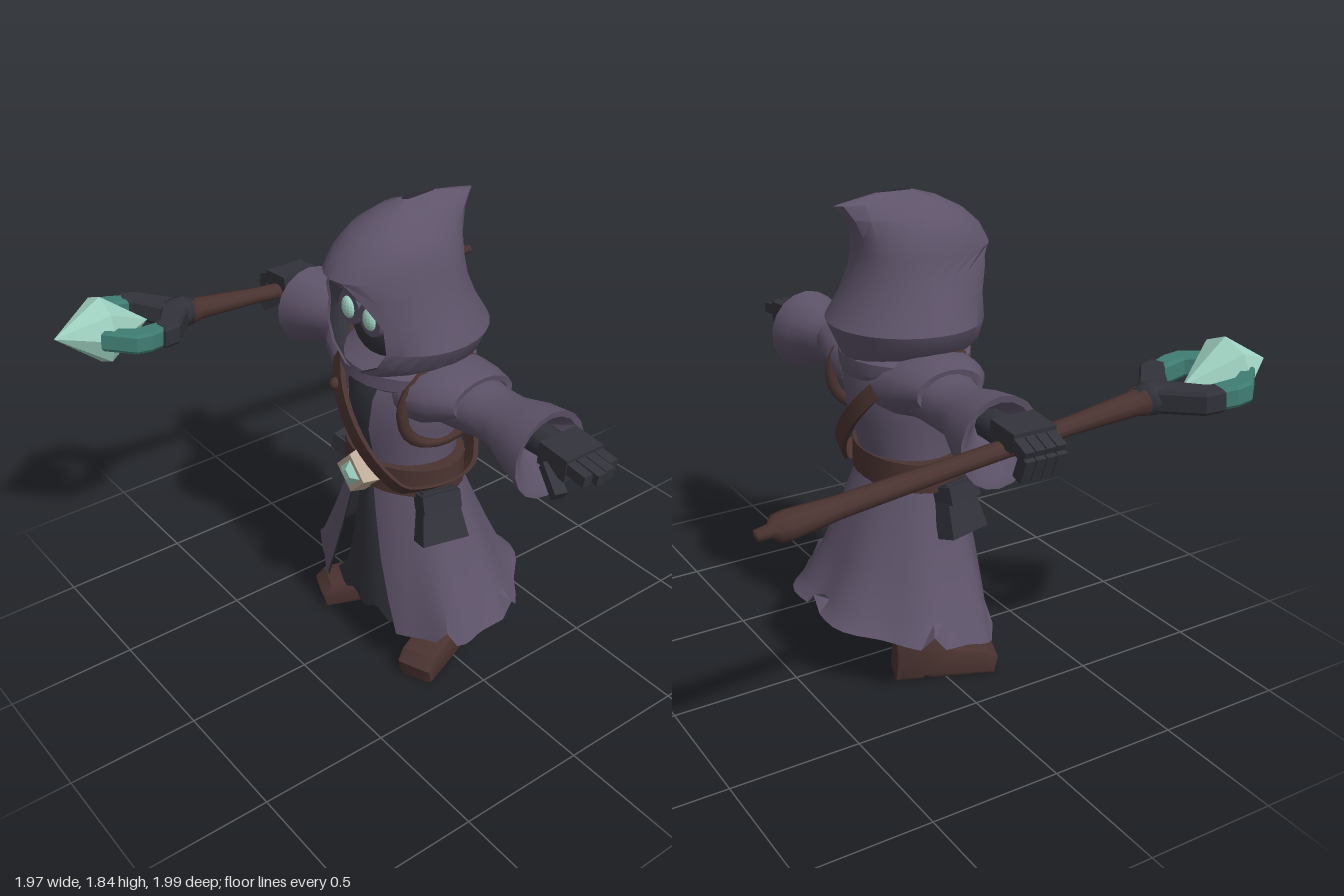
import * as THREE from 'three';
import { mergeVertices, toCreasedNormals } from 'three/addons/utils/BufferGeometryUtils.js';

const mat = (name, color, flatShading = false, side = THREE.FrontSide) =>
  Object.assign(new THREE.MeshStandardMaterial({ color, flatShading, side }), { name });

export function createModel() {
  const cloth = mat('purple cloth', 0x5e5369, false, THREE.DoubleSide);
  const dark = mat('charcoal cloth', 0x32333b, false, THREE.DoubleSide);
  const leather = mat('brown leather', 0x4a3330, false, THREE.DoubleSide);
  const crystal = mat('pale crystal', 0xa2d6c4, true);
  const teal = mat('teal metal', 0x3f7d73, true);
  const cream = mat('cream metal', 0xbfab99, true);
  const model = new THREE.Group();
  const body = new THREE.Group();
  body.name = 'body';
  body.position.x = 0.012;
  model.add(body);

  const add = (name, geo, material, pos = [0, 0, 0], rot = [0, 0, 0], parent = body) => {
    const m = new THREE.Mesh(geo, material);
    m.name = name;
    m.position.set(...pos);
    m.rotation.set(...rot);
    parent.add(m);
    return m;
  };
  const box = (name, size, material, pos, rot, parent) =>
    add(name, new THREE.BoxGeometry(...size), material, pos, rot, parent);

  // surface through a grid of points given by a rule
  const grid = (rows, cols, rule, flip = false, crease = 0.6) => {
    const p = [], index = [], n = cols + 1;
    for (let r = 0; r < rows; r++) for (let c = 0; c <= cols; c++) p.push(...rule(r, c / cols));
    for (let r = 0; r < rows - 1; r++) for (let c = 0; c < cols; c++) {
      const a = r * n + c, b = a + 1, d = a + n, e = d + 1;
      index.push(...(flip ? [a, e, b, a, d, e] : [a, b, e, a, e, d]));
    }
    const g = new THREE.BufferGeometry();
    g.setAttribute('position', new THREE.Float32BufferAttribute(p, 3));
    g.setIndex(index);
    return toCreasedNormals(mergeVertices(g, 1e-5), crease);
  };

  // upright shell; rows are [y, halfWidth, zFront, zBack, halfOpening, backPoint]
  const shell = (rows, { cols = 24, scale = 1, flip = false, tweak } = {}) =>
    grid(rows.length, cols, (r, v) => {
      const [y, w, zf, zb, open = 0, point = 1] = rows[r];
      const a0 = Math.asin(Math.min(1, open / w)), a = a0 + (2 * Math.PI - 2 * a0) * v;
      const c = Math.cos(a);
      const p = [w * Math.sin(a) * scale, y, (c > 0 ? zf * c : -zb * -Math.pow(-c, point)) * scale * 1];
      if (c <= 0) p[2] = zb * Math.pow(-c, point) * scale;
      return tweak ? tweak(p, r, a, v) : p;
    }, flip);

  // sideways sleeve; rows are [x, yTop, yBottom, zFront, zBack]
  const tubeRings = (rows, s) => grid(rows.length, 18, (r, v) => {
    const [x, yt, yb, zf, zb] = rows[r], a = v * 2 * Math.PI;
    return [s * x, (yt + yb) / 2 + (yt - yb) / 2 * Math.cos(a), (zf + zb) / 2 + (zf - zb) / 2 * Math.sin(a)];
  }, s < 0);

  // hood with a peak swept to the back
  const hoodRows = [
    [1.225, 0.15, 0.2, -0.22, 0], [1.26, 0.2, 0.25, -0.25, 0.04], [1.31, 0.265, 0.27, -0.27, 0.13],
    [1.38, 0.295, 0.28, -0.3, 0.175], [1.47, 0.255, 0.29, -0.245, 0.16], [1.56, 0.22, 0.31, -0.21, 0.105],
    [1.63, 0.205, 0.33, -0.2, 0], [1.7, 0.185, 0.29, -0.21, 0, 1.3], [1.76, 0.15, 0.22, -0.245, 0, 2],
    [1.81, 0.085, 0.12, -0.29, 0, 3], [1.84, 0.015, 0.02, -0.12, 0, 2]];
  add('hood', shell(hoodRows), cloth);
  add('hoodLining', shell(hoodRows.slice(0, 8), { scale: 0.965, flip: true }), dark);
  add('face', new THREE.SphereGeometry(0.2, 20, 14), dark, [0, 1.42, 0.03]).scale.set(0.95, 0.95, 0.85);
  for (const s of [-1, 1]) {
    add('eyeSurround', new THREE.CylinderGeometry(0.062, 0.07, 0.04, 16), cloth, [s * 0.06, 1.463, 0.19], [Math.PI / 2, 0, 0]);
    add('eye', new THREE.SphereGeometry(0.042, 14, 10), crystal, [s * 0.062, 1.465, 0.208]).scale.set(0.85, 1, 0.5);
  }

  // torso, under-tunic and cowl
  const torsoRows = [[0.8, 0.21, 0.195, -0.17, 0.045], [0.9, 0.205, 0.2, -0.18, 0.05], [1.02, 0.22, 0.225, -0.22, 0.055],
    [1.15, 0.23, 0.225, -0.24, 0.075], [1.25, 0.21, 0.19, -0.23, 0.09], [1.32, 0.14, 0.12, -0.17, 0.05]];
  add('coat', shell(torsoRows), cloth);
  add('tunic', shell(torsoRows.map(r => r.slice(0, 4)), { scale: 0.95 }), dark);
  add('cowl', shell([[1.18, 0.2, 0.2, -0.235], [1.21, 0.25, 0.235, -0.25], [1.26, 0.26, 0.23, -0.25], [1.31, 0.2, 0.15, -0.2]]), cloth);

  // flared skirt with ragged hem, open at the front
  const skirtRows = [[0.2, 0.475, 0.255, -0.425, 0.225], [0.32, 0.42, 0.245, -0.375, 0.175],
    [0.48, 0.34, 0.235, -0.305, 0.125], [0.64, 0.27, 0.22, -0.24, 0.085], [0.82, 0.215, 0.2, -0.165, 0.045]];
  const hem = (p, r, a, v) => {
    const k = 1 - 0.035 * Math.cos(8 * a) * (1 - r / 4);
    const notch = [5, 13, 24, 35, 43].includes(Math.round(v * 48)) ? 0.055 : 0;
    return [p[0] * k, r ? p[1] : 0.225 - 0.05 * Math.cos(a) + notch, p[2] * k];
  };
  add('skirt', shell(skirtRows, { cols: 48, tweak: hem }), cloth);
  add('skirtLining', shell(skirtRows, { cols: 48, tweak: hem, scale: 0.975, flip: true }), dark);
  add('tabard', grid(8, 16, (r, v) => {
    const t = r / 7, u = 2 * v - 1;
    const x = u * (0.225 - 0.165 * Math.sqrt(t));
    return [x, 0.185 + 0.63 * t + (r ? 0 : 0.02 * Math.cos(v * 19)), 0.21 - 0.015 * t - 0.035 * u * u];
  }), dark);
  add('underskirt', new THREE.CylinderGeometry(0.2, 0.27, 0.4, 20), dark, [0, 0.52, -0.03]).scale.z = 0.7;
  add('underskirtTrim', new THREE.TorusGeometry(0.265, 0.018, 6, 24), leather, [0, 0.32, -0.03], [Math.PI / 2, 0, 0]).scale.y = 0.7;

  // belt and diamond buckle
  add('belt', shell([[0.775, 0.22, 0.18, -0.15], [0.77, 0.262, 0.215, -0.185], [0.88, 0.258, 0.215, -0.185],
    [0.88, 0.2, 0.17, -0.15]], { cols: 28 }), leather);
  add('buckle', new THREE.CylinderGeometry(0.083, 0.102, 0.065, 4), cream, [0, 0.82, 0.232], [Math.PI / 2, 0, 0]);
  add('buckleGem', new THREE.CylinderGeometry(0.025, 0.06, 0.022, 4), crystal, [0, 0.82, 0.274], [Math.PI / 2, 0, 0]);

  // strap from the right shoulder to the left hip
  add('strap', grid(5, 48, (r, v) => {
    const t = v * 2 * Math.PI, corner = [[-1, 0], [1, 0], [1, 1], [-1, 1], [-1, 0]][r];
    const k = 1 - 0.07 * corner[1], o = 0.034 * corner[0];
    return [(-0.255 * Math.cos(t)) * k + o * 0.73, Math.max(0.8, 1.01 + 0.28 * Math.cos(t)) + o * 0.68, 0.258 * Math.sin(t) * k];
  }), leather);
  add('strapStud', new THREE.SphereGeometry(0.024, 10, 8), leather, [-0.13, 1.13, 0.228]);
  add('shoulderStrap', new THREE.TorusGeometry(0.195, 0.024, 6, 24), leather, [0.205, 1.13, -0.015], [0, Math.PI / 2, 0]).scale.y = 0.85;

  const bootShape = new THREE.Shape([[-0.07, 0.015], [0.015, 0.015], [0.03, 0.028], [0.06, 0.015], [0.29, 0.015], [0.3, 0.06],
    [0.27, 0.09], [0.15, 0.105], [0.09, 0.14], [0.075, 0.195], [-0.075, 0.195], [-0.065, 0.1]].map(p => new THREE.Vector2(...p)));
  const bootGeo = new THREE.ExtrudeGeometry(bootShape, { depth: 0.11, bevelSize: 0.015, bevelThickness: 0.02, bevelSegments: 2 });
  bootGeo.translate(0, 0, -0.055).rotateY(-Math.PI / 2);

  for (const s of [-1, 1]) {
    const side = s > 0 ? 'left' : 'right';
    // sleeves with flared cuffs and shoulder capes
    add(side + 'Sleeve', tubeRings([[0.1, 1.28, 1.05, 0.12, -0.18], [0.3, 1.28, 1.07, 0.1, -0.17], [0.42, 1.26, 1.07, 0.06, -0.16],
      [0.5, 1.26, 1.07, 0.06, -0.165], [0.6, 1.285, 1.02, 0.085, -0.2], [0.705, 1.3, 0.97, 0.1, -0.215],
      [0.7, 1.275, 1.0, 0.08, -0.195], [0.62, 1.22, 1.12, 0, -0.11]], s), cloth);
    add(side + 'ShoulderCape', tubeRings([[0.1, 1.3, 1.03, 0.17, -0.22], [0.22, 1.305, 1.06, 0.18, -0.215],
      [0.3, 1.3, 1.1, 0.15, -0.2], [0.375, 1.285, 1.13, 0.09, -0.18], [0.37, 1.26, 1.15, 0.07, -0.16]], s), cloth);
    // belt pouch
    const pouch = new THREE.CylinderGeometry(0.085, 0.125, 0.2, 4).rotateY(Math.PI / 4).scale(0.5, 1, 1.05);
    add(side + 'Pouch', toCreasedNormals(pouch, 0.5), dark, [s * 0.27, 0.7, 0.06], [0, s * -0.25, s * 0.28]);
    box(side + 'PouchFlap', [0.09, 0.07, 0.15], dark, [s * 0.262, 0.76, 0.06], [0, s * -0.25, s * 0.28]);
    // boots and ankles
    add(side + 'Ankle', new THREE.CylinderGeometry(0.068, 0.065, 0.3, 12), dark, [s * 0.195, 0.33, -0.08]);
    add(side + 'Boot', toCreasedNormals(bootGeo, 0.6), leather, [s * 0.2, 0, -0.08], [0, s * 0.38, 0]);
  }

  // gloved hands: the left is open, the right closes over the staff
  for (const s of [-1, 1]) {
    const hand = new THREE.Group(), grip = s < 0;
    hand.name = s > 0 ? 'leftHand' : 'rightHand';
    model.add(hand);
    const wrist = new THREE.CylinderGeometry(0.06, 0.055, 0.17, 10).rotateZ(Math.PI / 2);
    add('wrist', wrist, dark, [s * 0.7, 1.18, -0.055], [0, 0, 0], hand);
    box('palm', [0.13, grip ? 0.07 : 0.085, 0.165], dark, [s * 0.81, grip ? 1.215 : 1.19, -0.055], [0, 0, s * -0.08], hand);
    for (let i = 0; i < 4; i++) {
      const z = 0.005 - i * 0.041, len = [0.1, 0.12, 0.115, 0.09][i];
      if (grip) {
        box('finger', [0.09, 0.045, 0.037], dark, [-0.89, 1.2, z], [0, 0, 0.4], hand);
        box('fingerTip', [0.045, 0.09, 0.037], dark, [-0.91, 1.14, z], [0, 0, 0.35], hand);
      } else {
        box('finger', [len, 0.042, 0.037], dark, [0.855 + len / 2, 1.19, z], [0, 0, -0.12], hand);
      }
    }
    box('thumb', [0.12, 0.045, 0.045], dark, [s * 0.825, 1.13, 0.03], [0, s * -0.3, s * -0.6], hand);
  }

  // staff held level, head to the front
  const staff = new THREE.Group();
  staff.name = 'staff';
  staff.position.set(-0.8, 1.178, 0);
  staff.rotation.x = -0.098;
  model.add(staff);
  const lathe = (pts, sides) => new THREE.LatheGeometry(pts.map(p => new THREE.Vector2(...p)), sides).rotateX(Math.PI / 2);
  add('shaft', lathe([[0, -0.998], [0.022, -0.995], [0.026, -0.95], [0.05, -0.93], [0.055, -0.89], [0.042, -0.72],
    [0.036, -0.3], [0.036, 0.15], [0.05, 0.4], [0.062, 0.44], [0, 0.46]], 10), leather, [0, 0, 0], [0, 0, 0], staff).scale.y = 0.85;
  add('collar', lathe([[0, 0.41], [0.05, 0.42], [0.064, 0.47], [0.055, 0.53], [0, 0.57]], 8), dark, [0, 0, 0], [0, 0, 0], staff);
  const plate = (pts, depth, s) => new THREE.ExtrudeGeometry(new THREE.Shape(pts.map(([x, y]) => new THREE.Vector2(s * x, y))),
    { depth, bevelSize: 0.008, bevelThickness: 0.012, bevelSegments: 1 }).translate(0, 0, -depth / 2).rotateX(Math.PI / 2);
  for (const s of [-1, 1]) {
    add('forkArm', plate([[0, 0.48], [0.05, 0.48], [0.165, 0.58], [0.18, 0.64], [0.13, 0.65], [0.105, 0.62], [0, 0.55]], 0.06, s),
      dark, [0, 0, 0], [0, 0, 0], staff);
    add('forkProng', plate([[0.165, 0.635], [0.185, 0.7], [0.182, 0.76], [0.1, 0.85], [0.085, 0.82], [0.13, 0.74], [0.118, 0.645]], 0.055, s),
      teal, [0, 0, 0], [0, 0, 0], staff);
  }
  add('crystal', lathe([[0, 0.62], [0.132, 0.815], [0, 1.0]], 8), crystal, [0, 0, 0], [0, 0, 0], staff);
  return model;
}
